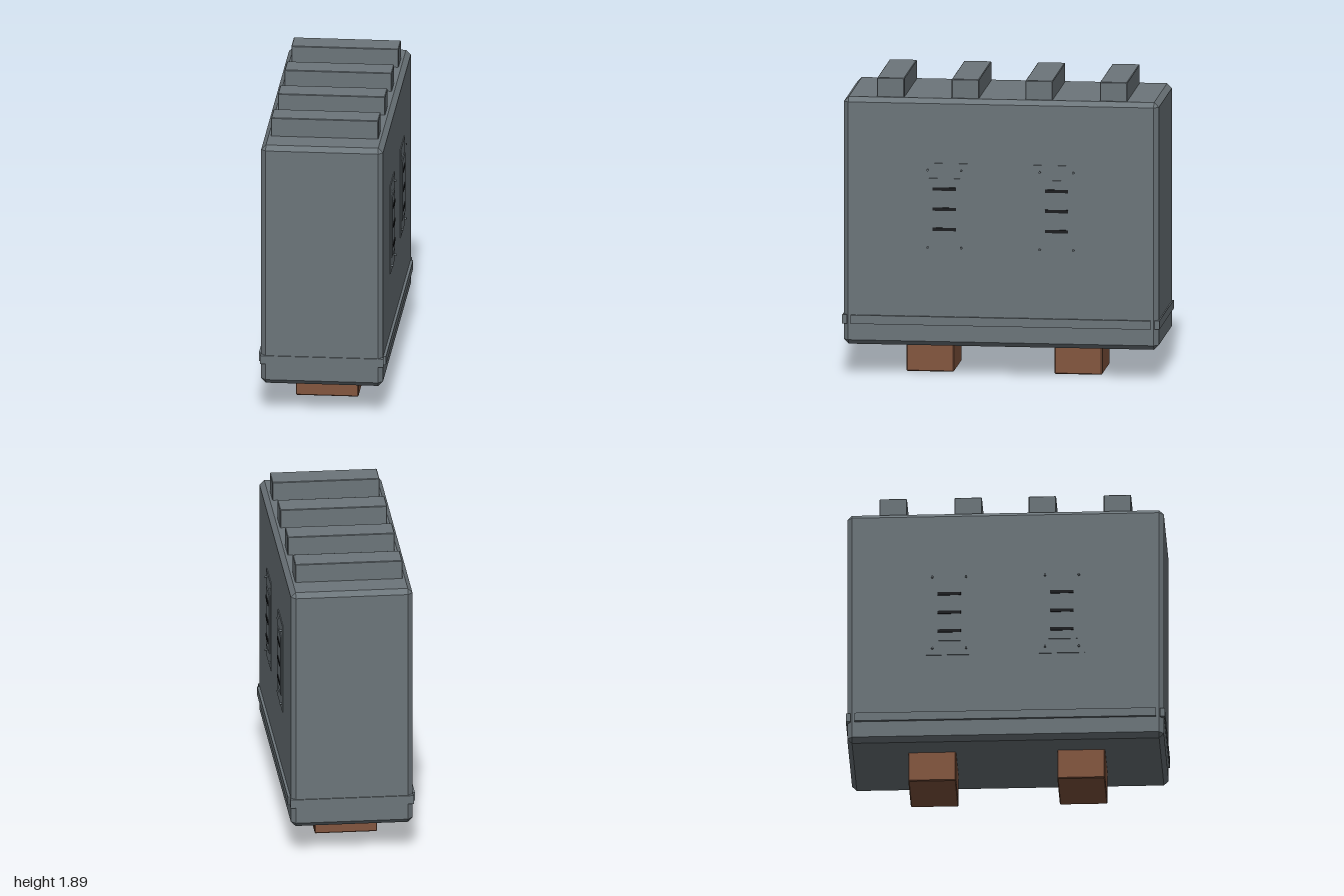
import * as THREE from 'three';
import { ConvexGeometry } from 'three/addons/geometries/ConvexGeometry.js';

// Box with flat chamfers on every edge, c = chamfer width
function chamferBox(w, h, d, c) {
  const pts = [];
  for (const sx of [-1, 1]) for (const sy of [-1, 1]) for (const sz of [-1, 1]) {
    const x = w / 2, y = h / 2, z = d / 2;
    pts.push(
      new THREE.Vector3(sx * x, sy * (y - c), sz * (z - c)),
      new THREE.Vector3(sx * (x - c), sy * y, sz * (z - c)),
      new THREE.Vector3(sx * (x - c), sy * (y - c), sz * z)
    );
  }
  return new ConvexGeometry(pts);
}

export function createModel() {
  const model = new THREE.Group();
  model.name = 'cabinet';

  const mat = (name, color) => {
    const m = new THREE.MeshStandardMaterial({ color });
    m.name = name;
    return m;
  };
  const grey = mat('slate grey', 0x6c757a);
  const brown = mat('copper brown', 0x83563f);
  const black = mat('slot black', 0x1c1e20);

  const add = (parent, name, geometry, material, x, y, z) => {
    const mesh = new THREE.Mesh(geometry, material);
    mesh.name = name;
    mesh.position.set(x, y, z);
    parent.add(mesh);
    return mesh;
  };

  // Main casing
  add(model, 'casing', chamferBox(0.766, 1.572, 1.985, 0.03), grey, 0, 0.98, 0);

  // Ribs across the top
  for (const z of [-0.705, -0.235, 0.23, 0.7])
    add(model, 'topRib', chamferBox(0.674, 0.16, 0.172, 0.004), grey, 0, 1.806, z);

  // Feet
  for (const z of [-0.467, 0.467])
    add(model, 'foot', chamferBox(0.394, 0.22, 0.3, 0.006), brown, 0, 0.11, z);

  // Trim band around the lower casing
  for (const s of [-1, 1]) {
    add(model, 'sideTrim', new THREE.BoxGeometry(0.03, 0.055, 1.89), grey, s * 0.385, 0.356, 0);
    add(model, 'endTrim', new THREE.BoxGeometry(0.776, 0.055, 0.03), grey, 0, 0.356, s * 0.985);
  }

  // Vent panels: backing plate, inner plate, three slots and four bolts
  const boltGeometry = new THREE.CylinderGeometry(0.007, 0.007, 0.02, 8).rotateZ(Math.PI / 2);
  for (const side of [-1, 1]) for (const z of [-0.352, 0.355]) {
    const panel = new THREE.Group();
    panel.name = 'ventPanel';
    panel.position.set(side * 0.383, 1.068, z);
    model.add(panel);
    add(panel, 'backPlate', new THREE.BoxGeometry(0.012, 0.58, 0.29), grey, 0, 0, 0);
    add(panel, 'innerPlate', new THREE.BoxGeometry(0.024, 0.39, 0.195), grey, 0, 0, 0);
    for (const y of [-0.128, 0, 0.128])
      add(panel, 'slot', new THREE.BoxGeometry(0.009, 0.02, 0.146), black, side * 0.0125, y, 0);
    for (const y of [-0.246, 0.246]) for (const dz of [-0.106, 0.106])
      add(panel, 'bolt', boltGeometry, grey, side * 0.01, y, dz);
  }

  return model;
}
